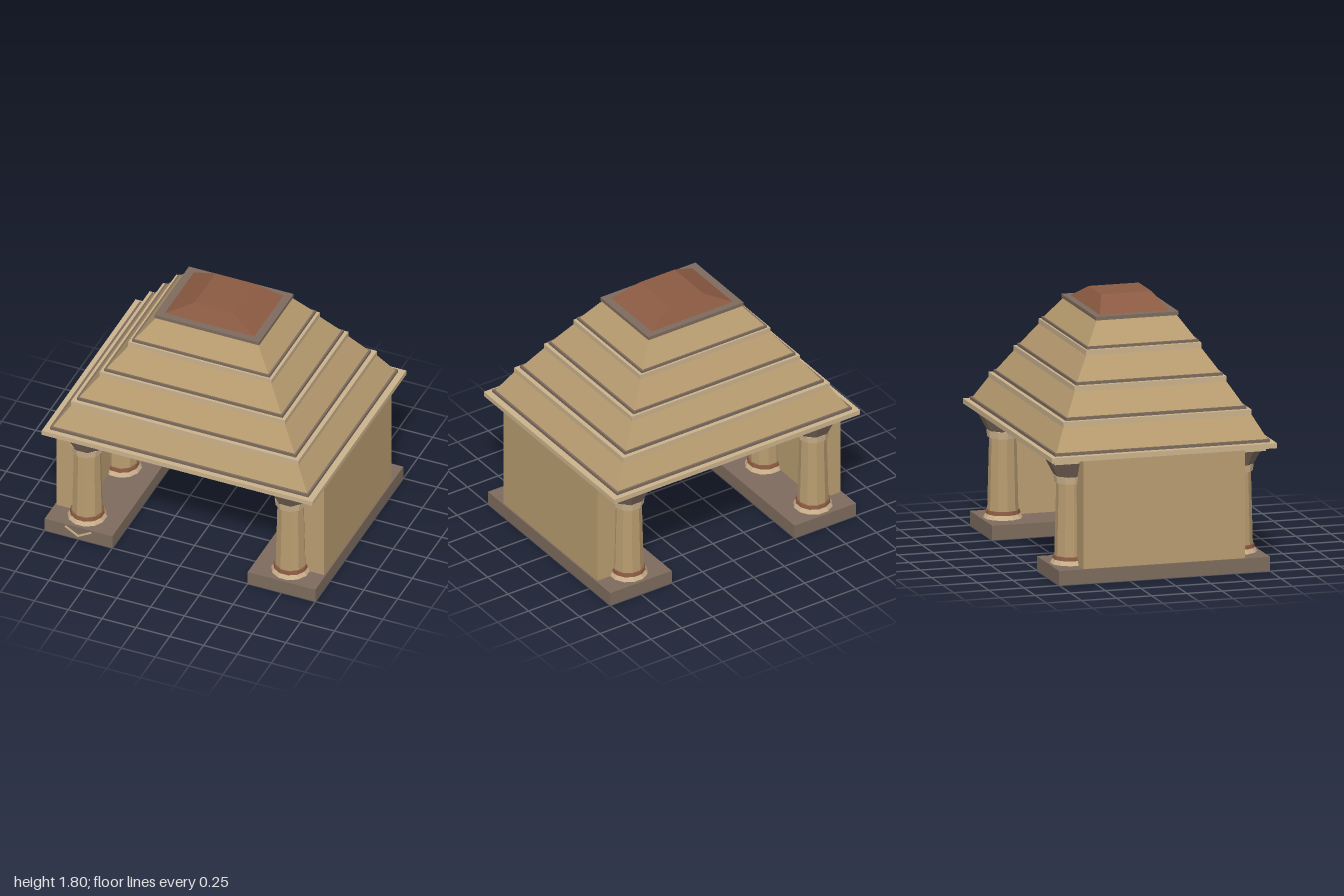
import * as THREE from 'three';

const mat = (name, color) => {
  const m = new THREE.MeshStandardMaterial({ color });
  m.name = name;
  return m;
};

export function createModel() {
  const sandstone = mat('sandstone', 0xb89c70);
  const cream = mat('pale stone', 0xcbb28c);
  const slate = mat('slate stone', 0x7d6b5d);
  const clay = mat('red clay', 0x8b5a42);

  const model = new THREE.Group();
  model.name = 'pavilion';

  const add = (parent, name, geometry, material, x = 0, y = 0, z = 0) => {
    const mesh = new THREE.Mesh(geometry, material);
    mesh.name = name;
    mesh.position.set(x, y, z);
    parent.add(mesh);
    return mesh;
  };

  // Box given by half extents and its bottom and top heights
  const slab = (parent, name, hx, hz, y0, y1, material, x = 0, z = 0) =>
    add(parent, name, new THREE.BoxGeometry(2 * hx, y1 - y0, 2 * hz), material, x, (y0 + y1) / 2, z);

  // Rectangular frustum: a box whose upper corners are drawn inwards
  const frustum = (parent, name, [bx, bz], [tx, tz], y0, y1, material) => {
    const geo = new THREE.BoxGeometry(2, y1 - y0, 2);
    const p = geo.attributes.position;
    for (let i = 0; i < p.count; i++) {
      const top = p.getY(i) > 0;
      p.setX(i, p.getX(i) * (top ? tx : bx));
      p.setZ(i, p.getZ(i) * (top ? tz : bz));
    }
    const flat = geo.toNonIndexed();
    flat.computeVertexNormals();
    return add(parent, name, flat, material, 0, (y0 + y1) / 2, 0);
  };

  // Faceted drum with a flat side facing the front
  const drum = (parent, name, rTop, rBottom, y0, y1, sides, material) => {
    const geo = new THREE.CylinderGeometry(rTop, rBottom, y1 - y0, sides).rotateY(Math.PI / sides).toNonIndexed();
    geo.computeVertexNormals();
    return add(parent, name, geo, material, 0, (y0 + y1) / 2, 0);
  };

  const makeColumn = (x, z) => {
    const column = new THREE.Group();
    column.name = 'column';
    drum(column, 'columnFoot', 0.12, 0.135, 0.1, 0.13, 12, cream);
    drum(column, 'columnRing', 0.115, 0.12, 0.13, 0.155, 12, clay);
    drum(column, 'columnShaft', 0.093, 0.106, 0.155, 0.67, 10, sandstone);
    drum(column, 'columnNeck', 0.112, 0.106, 0.66, 0.71, 10, cream);
    drum(column, 'columnCapital', 0.168, 0.112, 0.71, 0.815, 8, slate);
    slab(column, 'columnAbacus', 0.156, 0.156, 0.815, 0.85, cream);
    column.position.set(x, 0, z);
    model.add(column);
  };

  // Two sides: plinth, wall and a row of three columns each
  for (const s of [1, -1]) {
    slab(model, 'plinth', 0.25, 0.75, 0, 0.1, slate, 0.75 * s);
    slab(model, 'wall', 0.095, 0.575, 0.1, 0.85, sandstone, 0.895 * s);
    for (const z of [-0.595, 0, 0.595]) makeColumn(0.752 * s, z);
  }

  // Carved chevron on the front of the right plinth
  for (const s of [1, -1]) {
    const bar = add(model, 'chevronBar', new THREE.BoxGeometry(0.113, 0.012, 0.008),
      cream, -0.752 + s * 0.047, 0.057, 0.753);
    bar.rotation.z = s * 0.53;
  }

  // Eaves
  slab(model, 'eaves', 1, 0.8, 0.85, 0.885, cream);
  slab(model, 'eavesTrim', 0.955, 0.765, 0.885, 0.905, slate);

  // Stepped roof: bottom and top half extents, bottom and top heights
  const tiers = [
    [[0.94, 0.75], [0.84, 0.67], 0.905, 1.057],
    [[0.795, 0.63], [0.685, 0.54], 1.115, 1.265],
    [[0.645, 0.51], [0.53, 0.41], 1.322, 1.475],
    [[0.495, 0.385], [0.375, 0.285], 1.53, 1.68],
  ];
  tiers.forEach(([b, t, y0, y1], i) => {
    frustum(model, 'roofTier', b, t, y0, y1, sandstone);
    if (i === tiers.length - 1) return;
    const next = tiers[i + 1];
    slab(model, 'roofBand', t[0], t[1], y1, y1 + 0.037, cream);
    slab(model, 'roofTrim', next[0][0] + 0.014, next[0][1] + 0.012, y1 + 0.037, next[2], slate);
  });

  // Crown
  slab(model, 'crownSlab', 0.387, 0.295, 1.68, 1.705, slate);
  frustum(model, 'crownCap', [0.33, 0.248], [0.14, 0.178], 1.705, 1.803, clay);

  return model;
}
